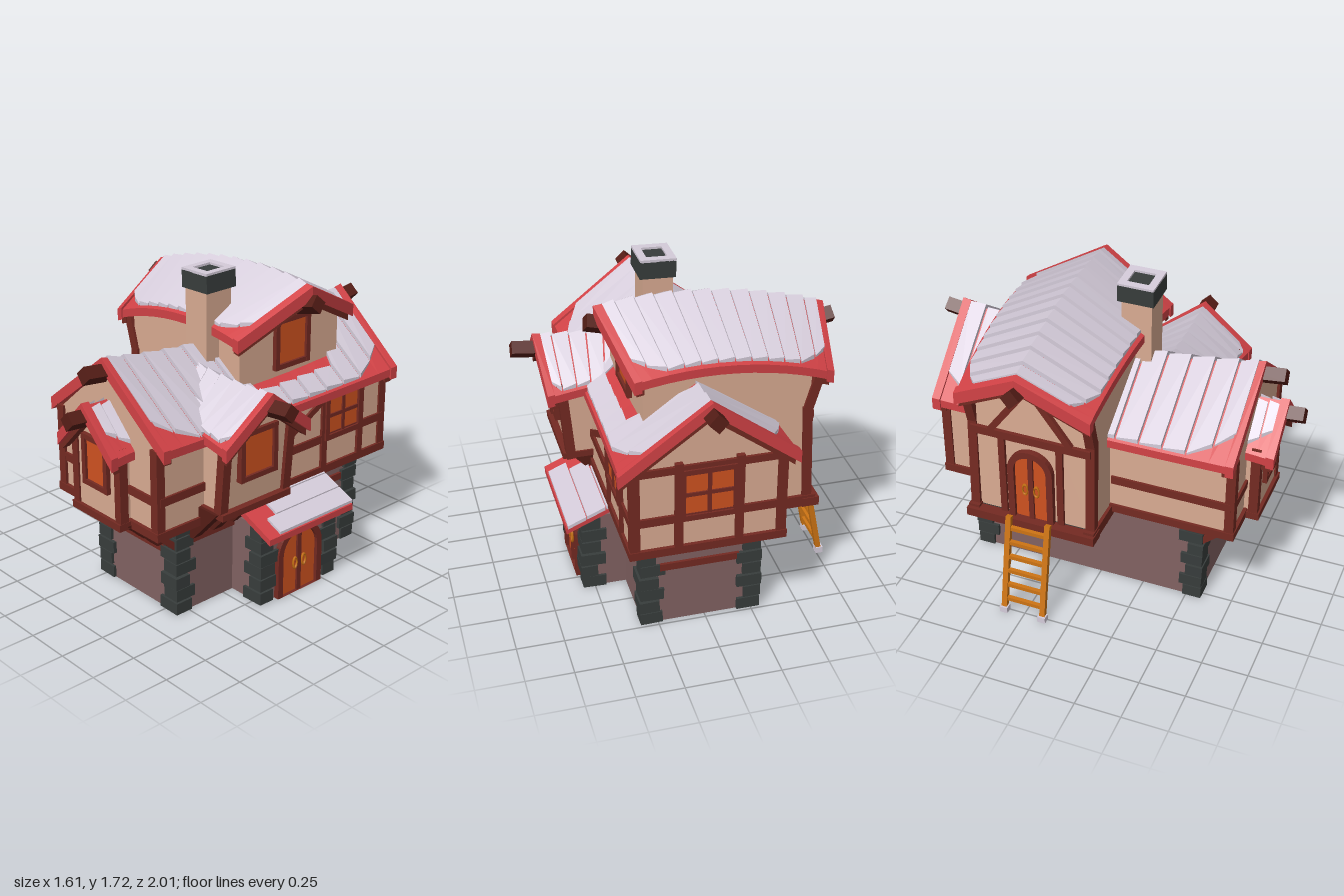
import * as THREE from 'three';
import { ConvexGeometry } from 'three/addons/geometries/ConvexGeometry.js';

const mat = (name, color) => Object.assign(new THREE.MeshStandardMaterial({ color }), { name });
const M = {
  plaster: mat('plaster', 0xd9ab92), stone: mat('stone', 0x826262), quoin: mat('darkStone', 0x383d3c),
  timber: mat('timber', 0x742a22), beam: mat('darkTimber', 0x551d16), red: mat('redRoof', 0xd24246),
  snow: mat('paleSlats', 0xd5ccda), glass: mat('orangePane', 0xcf5220), wood: mat('ladderWood', 0xcd7414),
};
const V = (x, y, z) => new THREE.Vector3(x, y, z);
const mix = (a, b, k) => a + (b - a) * k;
const quad = (a, b, c, u) => a * (1 - u) * (1 - 2 * u) + 4 * b * u * (1 - u) + c * u * (2 * u - 1);
let seed = 7;
const rnd = () => (seed = (seed * 16807) % 2147483647) / 2147483647;

export function createModel() {
  const root = new THREE.Group();
  root.name = 'timberHouse';
  const add = (name, geo, m, parent = root) => {
    const mesh = new THREE.Mesh(geo, m);
    mesh.name = name;
    parent.add(mesh);
    return mesh;
  };
  const hull = (name, m, pts) => add(name, new ConvexGeometry(pts), m);
  const box = (name, m, x0, x1, y0, y1, z0, z1, parent = root) => {
    const b = add(name, new THREE.BoxGeometry(x1 - x0, y1 - y0, z1 - z0), m, parent);
    b.position.set((x0 + x1) / 2, (y0 + y1) / 2, (z0 + z1) / 2);
    return b;
  };
  const beam = (name, m, p, q, w, h, roll = 0) => {
    const b = add(name, new THREE.BoxGeometry(w, h, p.distanceTo(q)), m);
    b.position.copy(p).lerp(q, 0.5);
    b.lookAt(q);
    b.rotateZ(roll);
    return b;
  };

  // Curved gable roof; a, b, d are stations [ridgeS, eaveS, ridgeY, eaveY, halfWidth]
  const fringe = (u) => [0, 0.95 - 0.3 * Math.max(0, 1 - Math.min(u, 1 - u) / 0.13)];
  function roof(name, { axis, c, a, b, d, n, ends, cover = fringe }) {
    const P = (u, t, lift) => {
      const [s0, s1, y0, y1, w] = a.map((_, i) => quad(a[i], b[i], d[i], u));
      const k = Math.abs(t), s = mix(s0, s1, k), y = mix(y0, y1, k) + lift, l = c + t * w;
      return axis === 'x' ? V(s, y, l) : V(l, y, s);
    };
    const len = Math.abs(d[0] - a[0]);
    for (const side of [-1, 1]) {
      for (let i = 0; i < n; i++) {
        const u0 = i / n, u1 = (i + 1) / n, slab = [], slat = [];
        for (const u of [u0, u1]) for (const t of [0, side]) slab.push(P(u, t, 0), P(u, t, -0.045));
        hull(name + 'Base', M.red, slab);
        const lo = Math.max(u0 + 0.005 / len, 0.03 / len), hi = Math.min(u1 - 0.005 / len, 1 - 0.03 / len);
        for (const u of [lo, hi]) for (const t of cover(u, side)) {
          slat.push(P(u, t * side, u === lo ? 0.026 : 0.012), P(u, t * side, -0.005));
        }
        hull(name + 'Slat', M.snow, slat);
      }
      // Red barge boards with a timber lining
      for (const e of ends) {
        const dir = (e ? -1 : 1) / len, red = [], lining = [];
        for (const k of [0, 1]) for (const t of [0, side]) {
          const u = e + dir * (-0.008 + k * 0.045), v = e + dir * (0.015 + k * 0.045);
          red.push(P(u, t * 1.02, 0.016), P(u, t * 1.02, -0.052));
          lining.push(P(v, t * 0.97, -0.03), P(v, t * 0.97, -0.088));
        }
        hull(name + 'BargeBoard', M.red, red);
        hull(name + 'Lining', M.timber, lining);
      }
    }
  }

  // Gabled walls from sections [sBottom, sTop, halfWidth, eaveY, apexY]
  function gableWall(name, axis, c, y0, sections) {
    const pts = ([s0, s1, w, e, p]) => [[s0, -w, y0], [s0, w, y0], [s1, -w, e], [s1, w, e], [s1, 0, p]]
      .map(([s, l, y]) => (axis === 'x' ? V(s, y, c + l) : V(c + l, y, s)));
    for (let i = 1; i < sections.length; i++) hull(name, M.plaster, [...pts(sections[i - 1]), ...pts(sections[i])]);
  }

  // Framed window facing local +z
  function win(name, x, y, z, ry, w, h, panes) {
    const g = new THREE.Group();
    g.name = name;
    g.position.set(x, y, z);
    g.rotation.y = ry;
    root.add(g);
    const f = 0.028, X = w / 2, Y = h / 2;
    box('pane', M.glass, -X + f, X - f, -Y + f, Y - f, 0.002, 0.01, g);
    for (const s of [-1, 1]) {
      const cx = s * (X - f / 2), cy = s * (Y - f / 2);
      box('frameSide', M.timber, cx - f / 2, cx + f / 2, -Y, Y, -0.01, 0.025, g);
      box('frameRail', M.timber, -X, X, cy - f / 2, cy + f / 2, -0.01, 0.024, g);
    }
    if (panes) {
      box('mullion', M.timber, -0.01, 0.01, -Y, Y, 0, 0.018, g);
      box('crossbar', M.timber, -X, X, -0.01, 0.01, 0, 0.018, g);
    }
  }

  // Arched double door facing local +z
  function door(name, x, y, z, ry, w, h) {
    const g = new THREE.Group();
    g.name = name;
    g.position.set(x, y, z);
    g.rotation.y = ry;
    root.add(g);
    const arch = (r, top) => new THREE.Shape().moveTo(-r, 0).lineTo(r, 0).lineTo(r, top - r).absarc(0, top - r, r, 0, Math.PI).lineTo(-r, 0);
    const frame = arch(w / 2, h);
    frame.holes.push(arch(w / 2 - 0.035, h - 0.035));
    add('doorFrame', new THREE.ExtrudeGeometry(frame, { depth: 0.05, bevelEnabled: false, curveSegments: 8 }), M.timber, g).position.z = -0.02;
    add('doorLeaves', new THREE.ExtrudeGeometry(arch(w / 2 - 0.03, h - 0.03), { depth: 0.025, bevelEnabled: false, curveSegments: 8 }), M.glass, g).position.z = -0.015;
    box('doorPost', M.timber, -0.014, 0.014, 0, h - 0.03, 0, 0.022, g);
    for (const s of [-1, 1]) {
      const t = add('handle', new THREE.TorusGeometry(0.024, 0.007, 5, 10), M.wood, g);
      t.position.set(s * 0.032, h * 0.43, 0.022);
      t.scale.set(0.6, 1.3, 1);
    }
  }

  // Stone ground floor, porch and corner stones
  box('groundFloor', M.stone, -0.28, 0.33, 0, 0.54, -0.72, 0.57);
  box('porchWalls', M.stone, 0.3, 0.55, 0, 0.45, -0.34, 0.185);
  for (const [x, z, sx, sz, rows] of [[-0.28, 0.57, -1, 1, 7], [0.33, 0.57, 1, 1, 7], [-0.28, -0.72, -1, -1, 7],
    [0.33, -0.72, 1, -1, 7], [0.55, 0.185, 1, 1, 6], [0.55, -0.34, 1, -1, 6]]) {
    for (let i = 0; i < rows; i++) {
      const a = (i % 2 ? 0.085 : 0.115) + rnd() * 0.02, b = (i % 2 ? 0.115 : 0.085) + rnd() * 0.02, o = 0.012 + rnd() * 0.012;
      const q = box('cornerStone', M.quoin, -a / 2, a / 2, 0, 0.066, -b / 2, b / 2);
      q.position.set(x + sx * (o - a / 2), 0.035 + i * 0.075, z + sz * (o - b / 2));
      q.rotation.z = (rnd() - 0.5) * 0.06;
    }
  }
  for (const z of [-0.735, 0.555]) box('wallBand', M.timber, -0.18, 0.24, 0.33, 0.37, z, z + 0.03);
  box('sideBand', M.timber, 0.32, 0.345, 0.39, 0.43, -0.7, 0.55);

  // Overhanging upper floor
  box('underside', M.quoin, -0.36, 0.41, 0.525, 0.555, -0.85, 0.75);
  box('crossUnderside', M.quoin, -0.59, -0.3, 0.505, 0.555, -0.57, 0.08);
  hull('corbel', M.quoin, [-0.55, 0.04].flatMap((z) => [V(-0.27, 0.34, z), V(-0.27, 0.52, z), V(-0.46, 0.52, z), V(-0.37, 0.46, z)]));
  gableWall('mainWalls', 'z', 0.025, 0.54, [[0.755, 0.755, 0.39, 1.0, 1.34], [-0.05, -0.05, 0.39, 0.98, 1.24], [-0.855, -0.855, 0.39, 1.0, 1.34]]);
  gableWall('crossWalls', 'x', -0.25, 0.53, [[-0.59, -0.58, 0.335, 1.29, 1.47], [-0.15, -0.15, 0.345, 1.4, 1.59], [0.29, 0.29, 0.355, 1.39, 1.59]]);
  gableWall('dormerWalls', 'x', 0.24, 0.6, [[0.25, 0.25, 0.22, 1.03, 1.18], [0.54, 0.575, 0.22, 1.03, 1.19]]);
  gableWall('bayWalls', 'z', 0.025, 0.55, [[0.7, 0.7, 0.17, 0.95, 1.13], [0.825, 0.825, 0.17, 0.95, 1.13]]);

  // Roofs
  roof('mainRoof', { axis: 'z', c: 0.025, a: [0.77, 0.76, 1.375, 1.03, 0.445], b: [-0.06, -0.06, 1.29, 1.01, 0.43],
    d: [-0.9, -0.88, 1.375, 1.03, 0.45], n: 13, ends: [0, 1],
    cover: (u, side) => [side > 0 && u > 0.42 && u < 0.84 ? 0.74 : 0, fringe(u)[1] + 0.02] });
  roof('crossRoof', { axis: 'x', c: -0.25, a: [-0.74, -0.68, 1.49, 1.29, 0.36], b: [-0.15, -0.17, 1.625, 1.42, 0.39],
    d: [0.44, 0.34, 1.615, 1.4, 0.41], n: 12, ends: [0, 1] });
  roof('dormerRoof', { axis: 'x', c: 0.24, a: [0.1, 0.2, 1.235, 1.06, 0.24], b: [0.39, 0.42, 1.22, 1.04, 0.255],
    d: [0.67, 0.65, 1.24, 1.02, 0.28], n: 6, ends: [1] });
  roof('bayRoof', { axis: 'z', c: 0.03, a: [0.72, 0.72, 1.17, 0.96, 0.21], b: [0.81, 0.81, 1.17, 0.955, 0.212],
    d: [0.905, 0.9, 1.175, 0.95, 0.216], n: 2, ends: [1], cover: (u) => [0.1, 0.95 - u * 0.5] });
  for (const [p, q] of [[V(0.025, 1.29, 0.6), V(0.025, 1.325, 0.89)], [V(0.025, 1.29, -0.7), V(0.025, 1.33, -1)],
    [V(0.025, 1.09, 0.7), V(0.025, 1.115, 1)], [V(-0.5, 1.37, -0.25), V(-0.8, 1.425, -0.25)],
    [V(0.2, 1.47, -0.25), V(0.49, 1.545, -0.25)], [V(0.4, 1.14, 0.23), V(0.795, 1.185, 0.23)]]) {
    beam('ridgeBeam', M.beam, p, q, 0.07, 0.07, Math.PI / 4);
  }

  // Sloping porch roof
  const slope = (x) => 0.57 - (x - 0.33) * 0.43;
  const porch = (name, m, x0, x1, z0, z1, lo, hi) => hull(name, m, [x0, x1].flatMap((x) => [z0, z1].flatMap((z) => [V(x, slope(x) + lo, z), V(x, slope(x) + hi, z)])));
  porch('porchRoof', M.red, 0.33, 0.65, -0.39, 0.22, -0.035, 0);
  for (let i = 0; i < 3; i++) porch('porchSlat', M.snow, 0.34 + i * 0.103, 0.437 + i * 0.103, -0.395, 0.0 + i * 0.07, -0.005, 0.015);

  // Main timber frame
  for (const x of [-0.35, 0.4]) {
    for (const z of [0.745, -0.845]) box('cornerPost', M.timber, x - 0.025, x + 0.025, 0.55, 1.02, z - 0.025, z + 0.025);
    box('sill', M.timber, x - 0.03, x + 0.03, 0.53, 0.575, -0.865, 0.77);
  }
  for (const z of [0.755, -0.855]) {
    box('endSill', M.timber, -0.38, 0.43, 0.53, 0.575, z - 0.02, z + 0.02);
    box('endRail', M.timber, -0.36, 0.41, 0.715, 0.76, z - 0.014, z + 0.014);
  }
  box('sideRail', M.timber, 0.4, 0.428, 0.715, 0.76, -0.85, 0.75);
  box('leftRail', M.timber, -0.378, -0.35, 0.715, 0.76, 0.1, 0.75);
  for (const z of [-0.39, -0.67]) box('sidePost', M.timber, 0.4, 0.43, 0.55, 1.0, z - 0.02, z + 0.02);
  beam('brace', M.timber, V(0.413, 0.76, -0.02), V(0.413, 0.96, -0.38), 0.03, 0.035);
  for (const x of [-0.13, 0.18]) box('backPost', M.timber, x - 0.02, x + 0.02, 0.55, 1.06, -0.88, -0.85);
  box('backTopRail', M.timber, -0.36, 0.41, 1.0, 1.04, -0.87, -0.84);

  // Cross wing frame
  for (const z of [-0.575, 0.075]) {
    beam('wingPost', M.timber, V(-0.585, 0.54, z), V(-0.565, 1.1, z), 0.05, 0.05);
    beam('wingPostTop', M.timber, V(-0.565, 1.08, z), V(-0.625, 1.29, z), 0.05, 0.05);
    beam('wingBrace', M.timber, V(-0.592, 1.06, z < -0.25 ? -0.47 : -0.03), V(-0.592, 1.36, -0.25), 0.03, 0.035);
    box('wingSill', M.timber, -0.63, -0.33, 0.5, 0.565, z - 0.03, z + 0.03);
  }
  box('wingRail', M.timber, -0.605, -0.57, 1.02, 1.065, -0.58, 0.08);
  box('landing', M.timber, -0.65, -0.56, 0.5, 0.55, -0.61, 0.11);
  for (const z of [-0.41, -0.09]) box('doorSidePost', M.timber, -0.605, -0.57, 0.55, 1.03, z - 0.018, z + 0.018);

  // Bay and dormer frames with brackets
  for (const s of [-1, 1]) {
    const x = 0.025 + s * 0.17, z = 0.24 + s * 0.215;
    box('bayPost', M.timber, x - 0.023, x + 0.023, 0.55, 0.98, 0.785, 0.835);
    beam('dormerPost', M.timber, V(0.535, 0.6, z), V(0.575, 1.06, z), 0.05, 0.05);
    beam('frontStrut', M.timber, V(0.025 + s * 0.29, 0.55, 0.75), V(0.025 + s * 0.29, 0.38, 0.56), 0.035, 0.035);
  }
  box('baySill', M.timber, -0.17, 0.22, 0.53, 0.57, 0.7, 0.845);
  box('dormerSill', M.timber, 0.36, 0.58, 0.6, 0.635, 0.01, 0.48);
  beam('dormerStrut', M.timber, V(0.5, 0.61, 0.46), V(0.34, 0.45, 0.46), 0.035, 0.035);
  for (let i = 0; i < 4; i++) {
    const x = -0.135 + i * 0.113, z = 0.465 - i * 0.137;
    hull('bayBracket', M.beam, [x - 0.022, x + 0.022].flatMap((k) => [V(k, 0.37, 0.56), V(k, 0.37, 0.61), V(k, 0.55, 0.56), V(k, 0.55, 0.8)]));
    hull('dormerBracket', M.beam, [z - 0.03, z + 0.03].flatMap((k) => [V(0.32, 0.43, k), V(0.37, 0.43, k), V(0.32, 0.63, k), V(0.55, 0.63, k)]));
  }

  // Windows and doors
  const H = Math.PI / 2;
  win('bayWindow', 0.03, 0.845, 0.825, 0, 0.2, 0.28);
  win('dormerWindow', 0.57, 0.915, 0.245, H, 0.25, 0.27);
  win('atticWindow', 0.29, 1.3, -0.255, H, 0.25, 0.28);
  win('sideWindow', 0.415, 0.86, -0.53, H, 0.28, 0.27, true);
  win('backWindow', 0.025, 0.87, -0.855, Math.PI, 0.3, 0.29, true);
  door('porchDoor', 0.55, 0, -0.075, H, 0.32, 0.4);
  door('landingDoor', -0.59, 0.55, -0.25, -H, 0.25, 0.43);

  // Chimney
  box('chimney', M.plaster, -0.03, 0.13, 0.95, 1.63, 0.02, 0.185);
  const cap = new THREE.Group();
  cap.name = 'chimneyCap';
  cap.position.set(0.052, 1.655, 0.1);
  cap.rotation.z = 0.04;
  root.add(cap);
  box('capBlock', M.quoin, -0.095, 0.095, -0.045, 0.048, -0.098, 0.098, cap);
  for (const s of [-1, 1]) {
    box('capRim', M.snow, s * 0.075 - 0.02, s * 0.075 + 0.02, 0.046, 0.06, -0.098, 0.098, cap);
    box('capRim', M.snow, -0.056, 0.056, 0.046, 0.06, s * 0.078 - 0.02, s * 0.078 + 0.02, cap);
  }

  // Ladder
  const L = (k, z) => V(mix(-0.765, -0.655, k), mix(0.01, 0.57, k), z);
  for (const z of [-0.36, -0.14]) {
    beam('ladderRail', M.wood, L(0, z), L(1, z), 0.03, 0.028);
    box('ladderFoot', M.snow, -0.785, -0.745, 0, 0.035, z - 0.022, z + 0.022);
  }
  for (let i = 0; i < 6; i++) beam('rung', M.wood, L(0.13 + i * 0.15, -0.36), L(0.13 + i * 0.15, -0.14), 0.022, 0.022);
  return root;
}
